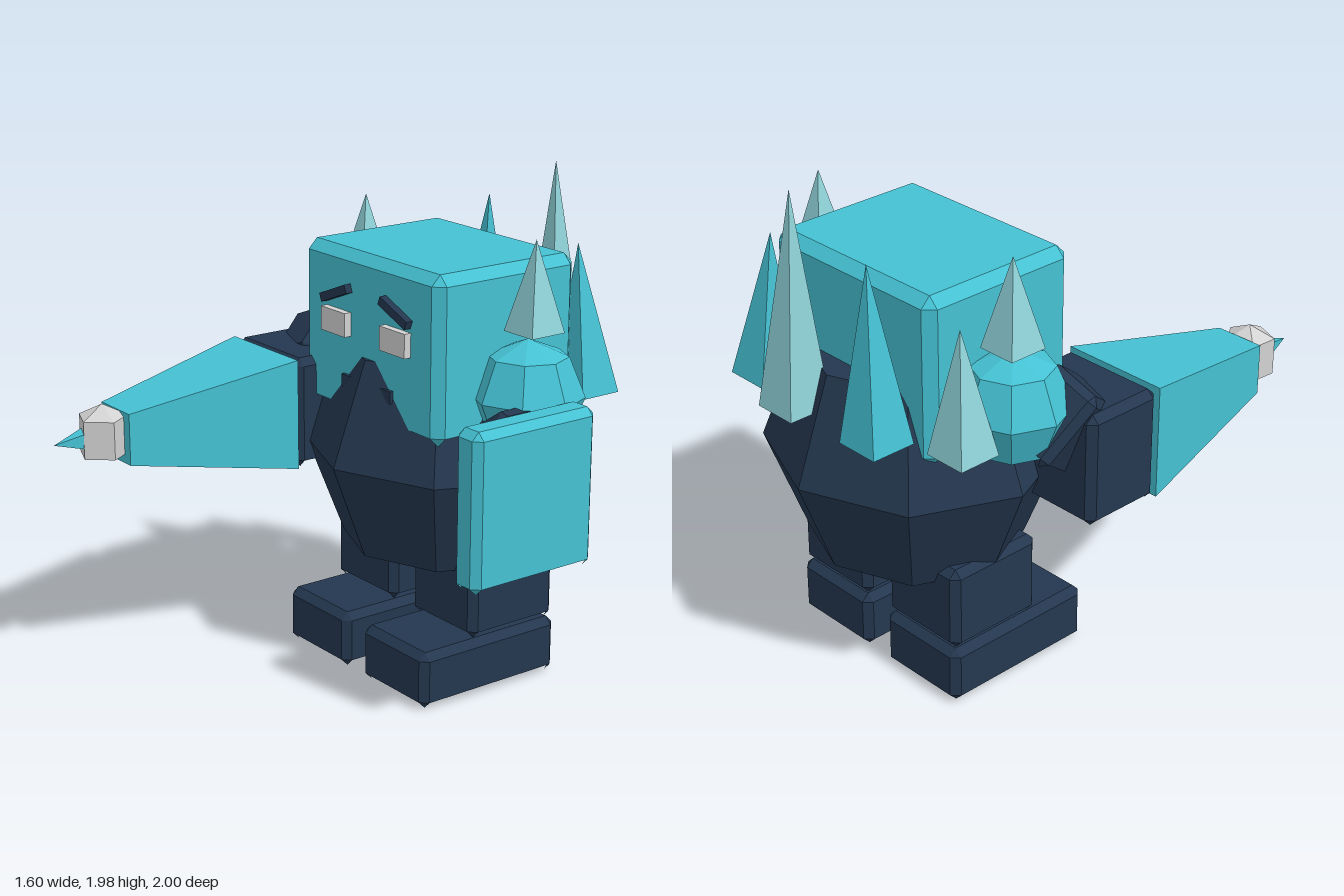
import * as THREE from 'three';

const mat = (name, color) => {
  const m = new THREE.MeshStandardMaterial({ color, flatShading: true, side: THREE.DoubleSide });
  m.name = name;
  return m;
};

// Chamfered block between two corners, open underneath with four small corner points
function blockGeometry(x0, x1, y0, y1, z0, z1, c = 0.03) {
  const a = (x1 - x0) / 2, b = (z1 - z0) / 2, h = (y1 - y0) / 2;
  const ring = [[a, c - b], [a, b - c], [a - c, b], [c - a, b], [-a, b - c], [-a, c - b], [c - a, -b], [a - c, -b]];
  const at = (i, y) => [ring[i % 8][0], y, -ring[i % 8][1]];
  const inner = (i, y) => [Math.sign(ring[i % 8][0]) * (a - c), y, -Math.sign(ring[i % 8][1]) * (b - c)];
  const pos = [];
  const tri = (...p) => p.forEach((v) => pos.push(...v));
  const quad = (p, q, r, s) => { tri(p, q, r); tri(p, r, s); };
  for (let i = 0; i < 8; i++) {
    const lo = c - h, hi = h - c;
    quad(at(i, lo), at(i + 1, lo), at(i + 1, hi), at(i, hi));
    if (i % 2) {
      tri(at(i, hi), at(i + 1, hi), inner(i, h));
      tri(at(i + 1, lo), at(i, lo), inner(i, -h));
    } else {
      quad(at(i, hi), at(i + 1, hi), inner(i + 1, h), inner(i, h));
    }
  }
  quad(inner(0, h), inner(1, h), inner(3, h), inner(5, h));
  const g = new THREE.BufferGeometry();
  g.setAttribute('position', new THREE.Float32BufferAttribute(pos, 3));
  g.computeVertexNormals();
  return g.translate((x0 + x1) / 2, (y0 + y1) / 2, (z0 + z1) / 2);
}

// Square-sided frustum or pyramid standing on its base; sizes are half widths
function taper(bottom, top, height) {
  const g = new THREE.CylinderGeometry(top * Math.SQRT2, bottom * Math.SQRT2, height, 4);
  return g.rotateY(Math.PI / 4).translate(0, height / 2, 0);
}

export function createModel() {
  const model = new THREE.Group();
  const navy = mat('navy', 0x24374f);
  const teal = mat('teal', 0x45c1d3);
  const pale = mat('pale teal', 0x90d4da);
  const grey = mat('light grey', 0xd2d2d2);

  const add = (name, geometry, material, x = 0, y = 0, z = 0) => {
    const m = new THREE.Mesh(geometry, material);
    m.name = name;
    m.position.set(x, y, z);
    model.add(m);
    return m;
  };

  // Faceted eight-sided body
  const profile = [[0, 0.49], [0.425, 0.49], [0.585, 0.88], [0.425, 1.29], [0, 1.29]];
  const body = add('body', new THREE.LatheGeometry(profile.map((p) => new THREE.Vector2(...p)), 8), navy, -0.01, 0, -0.445);
  body.scale.z = 0.945;

  // Head and face
  add('head', blockGeometry(-0.44, 0.41, 1.03, 1.69, -0.74, -0.06, 0.04), teal);
  add('mouth', new THREE.BoxGeometry(0.31, 0.05, 0.03), navy, -0.01, 1.175, -0.06);
  for (const s of [-1, 1]) {
    const x = -0.015 + s * 0.187;
    add('eye', new THREE.BoxGeometry(0.155, 0.095, 0.04), grey, x, 1.403, -0.05);
    const brow = add('eyebrow', new THREE.BoxGeometry(0.175, 0.035, 0.04), navy, x, 1.515, -0.05);
    brow.rotation.z = -s * 0.38;
  }

  // Legs and feet
  for (const [x0, x1] of [[-0.455, -0.07], [0.045, 0.43]]) {
    add('leg', blockGeometry(x0, x1, 0.23, 0.565, -0.65, -0.23), navy);
    add('foot', blockGeometry(x0 - 0.008, x1 + 0.005, 0, 0.23, -0.66, 0.01), navy);
  }

  // Shoulders, each with a pale spike
  for (const [x, y] of [[-0.53, 1.225], [0.48, 1.2]]) {
    add('shoulder', new THREE.SphereGeometry(0.22, 8, 4), teal, x, y, -0.435);
    add('shoulderSpike', taper(0.08, 0, 0.35), pale, x < 0 ? -0.535 : 0.507, 1.45, -0.44);
  }

  // Left arm and shield
  const leftArm = add('leftArm', blockGeometry(-0.16, 0.16, -0.13, 0.13, -0.13, 0.13), navy, 0.57, 1.03, -0.3);
  leftArm.rotation.z = 0.59;
  add('shield', blockGeometry(0.665, 0.8, 0.6, 1.22, -0.505, 0.07), teal);

  // Right arm and tapered cannon
  const rightArm = add('rightArm', blockGeometry(-0.12, 0.12, -0.16, 0.16, -0.13, 0.13), navy, -0.61, 1.14, -0.29);
  rightArm.rotation.set(0.65, 0.3, 0.25);
  add('forearm', blockGeometry(-0.8, -0.355, 0.77, 1.22, -0.31, 0.03), navy);
  add('cannon', taper(0.225, 0.103, 0.7).rotateX(Math.PI / 2), teal, -0.577, 0.997, 0.03);
  const collar = add('muzzleBlock', new THREE.CylinderGeometry(0.1, 0.1, 0.15, 5), grey, -0.573, 1.005, 0.79);
  const cap = add('muzzleCap', new THREE.ConeGeometry(0.1, 0.05, 5, 1, true), grey, -0.573, 1.105, 0.79);
  collar.rotation.y = cap.rotation.y = 0.25;
  add('muzzleTip', taper(0.04, 0, 0.16).rotateX(Math.PI / 2), teal, -0.58, 1, 0.84);

  // Back spikes: base x and z, apex x and z, top, half width
  const spikes = [
    ['backSpike', -0.285, -0.855, -0.245, -0.845, 1.8, 0.092, teal],
    ['backSpike', 0.122, -0.893, 0.1, -0.89, 1.98, 0.092, pale],
    ['backSpike', 0.395, -0.808, 0.345, -0.795, 1.71, 0.092, teal],
    ['backSpike', -0.55, -0.69, -0.54, -0.69, 1.61, 0.088, pale],
  ];
  for (const [name, x, z, ax, az, top, half, material] of spikes) {
    const h = top - 1.13;
    const g = taper(half, 0, h);
    // Lean the spike so its point sits over the apex
    const p = g.attributes.position;
    for (let i = 0; i < p.count; i++) {
      const t = p.getY(i) / h;
      p.setX(i, p.getX(i) + (ax - x) * t);
      p.setZ(i, p.getZ(i) + (az - z) * t);
    }
    g.computeVertexNormals();
    add(name, g, material, x, 1.13, z);
  }
  return model;
}
